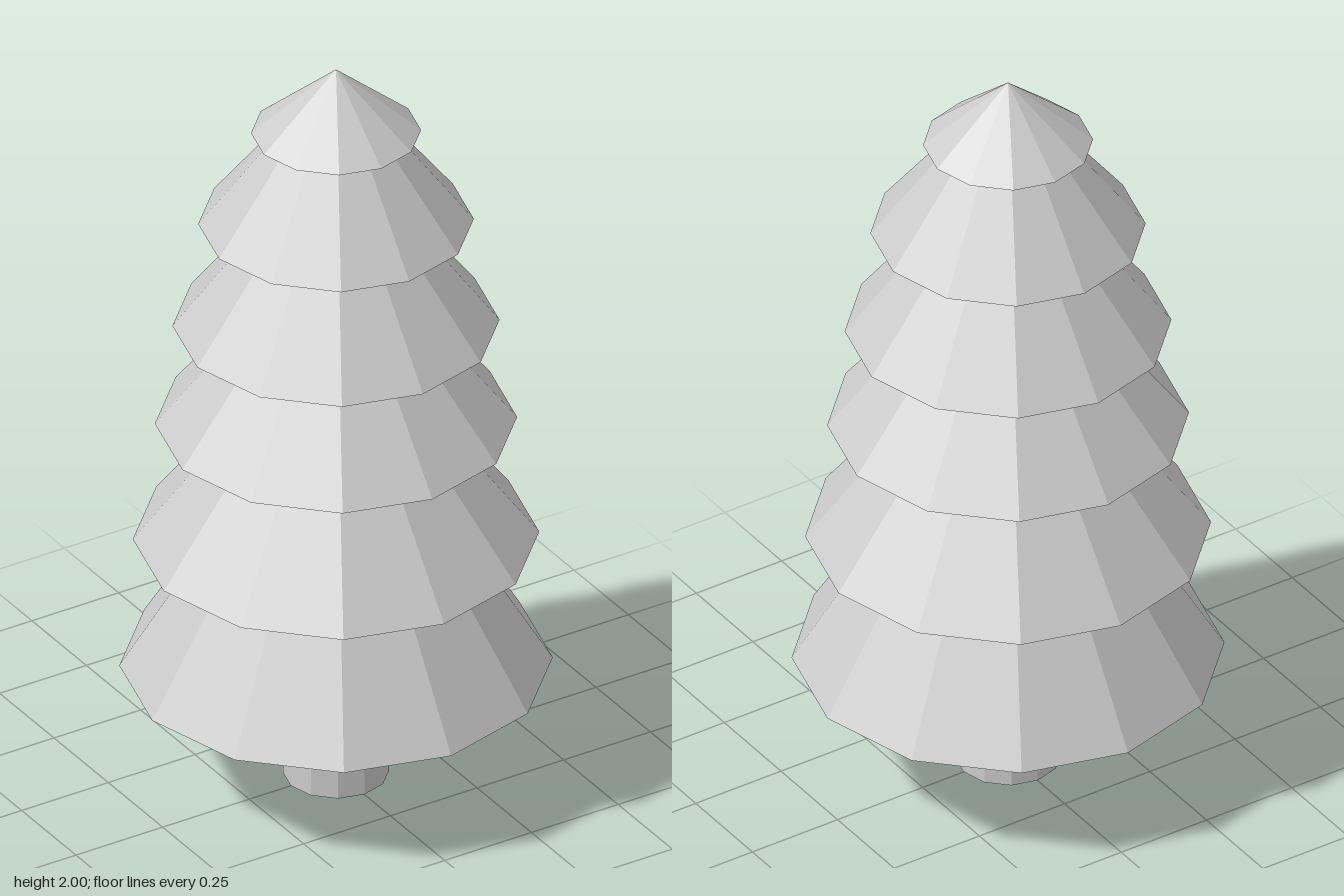
import * as THREE from 'three';

const SIDES = 12;

export function createModel() {
  const tree = new THREE.Group();
  tree.name = 'pineTree';
  const material = new THREE.MeshStandardMaterial({ color: 0xcccccc, flatShading: true });

  // A faceted frustum standing on a given height
  function addFrustum(name, bottomY, topY, bottomRadius, topRadius) {
    const height = topY - bottomY;
    const geometry = new THREE.CylinderGeometry(topRadius, bottomRadius, height, SIDES);
    const mesh = new THREE.Mesh(geometry, material);
    mesh.name = name;
    mesh.position.y = bottomY + height / 2;
    tree.add(mesh);
  }

  // Trunk
  addFrustum('trunk', 0, 0.313, 0.13, 0.13);

  // Foliage tiers, lowest first: [bottom height, bottom radius, top radius]
  const tiers = [
    [0.313, 0.53, 0.308],
    [0.672, 0.497, 0.245],
    [1.0, 0.443, 0.222],
    [1.278, 0.4, 0.18],
    [1.567, 0.337, 0.138],
    [1.823, 0.208, 0],
  ];
  tiers.forEach(([y, bottomRadius, topRadius], i) => {
    const topY = i + 1 < tiers.length ? tiers[i + 1][0] : 2;
    addFrustum(`foliageTier${i + 1}`, y, topY, bottomRadius, topRadius);
  });

  return tree;
}
